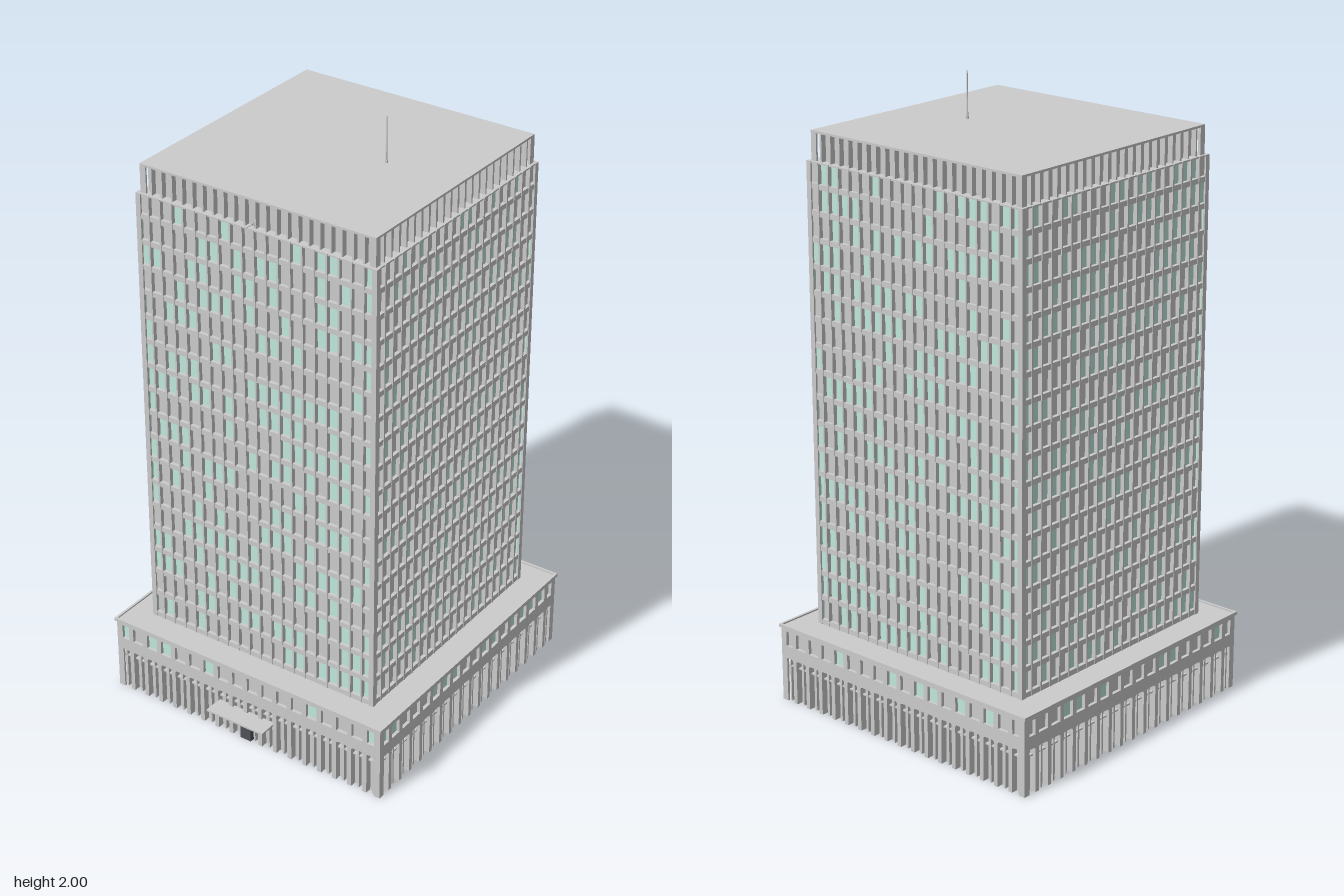
import * as THREE from 'three';
import { mergeGeometries } from 'three/addons/utils/BufferGeometryUtils.js';

const grey = new THREE.MeshStandardMaterial({ color: 0xcccccc, flatShading: true });
const glass = new THREE.MeshStandardMaterial({ color: 0xc0e8dc, side: THREE.DoubleSide });
const dark = new THREE.MeshStandardMaterial({ color: 0x505058 });

let seed = 7;
const random = () => (seed = (seed * 16807) % 2147483647) / 2147483647;

// Box given by its limits on each axis
function box(x0, x1, y0, y1, z0, z1) {
  return new THREE.BoxGeometry(x1 - x0, y1 - y0, z1 - z0)
    .translate((x0 + x1) / 2, (y0 + y1) / 2, (z0 + z1) / 2);
}

// Upright rectangle facing +z
function pane(x, y0, y1, w, z) {
  return new THREE.PlaneGeometry(w, y1 - y0).translate(x, (y0 + y1) / 2, z);
}

function add(parent, name, parts, material) {
  const mesh = new THREE.Mesh(mergeGeometries(parts), material);
  mesh.name = name;
  parent.add(mesh);
}

// One tower face: 20 bays by 18 floors of recessed windows
function towerSide() {
  const side = new THREE.Group();
  side.name = 'towerFacade';
  const half = 0.427, bays = 20, floors = 18, y0 = 0.26, y1 = 1.76;
  const bay = (2 * half - 0.006) / bays, floor = (y1 - y0) / floors;
  const mullions = [], spandrels = [], clear = [], blinds = [];
  for (let i = 0; i <= bays; i++) {
    const x = -half + 0.003 + i * bay;
    mullions.push(box(x - 0.003, x + 0.003, y0, y1, 0.41, 0.427));
  }
  for (let j = 0; j < floors; j++) {
    const y = y0 + j * floor;
    spandrels.push(box(-0.425, 0.425, y, y + 0.017, 0.41, 0.425));
    for (let i = 0; i < bays; i++) {
      const x = -half + 0.003 + (i + 0.5) * bay;
      (random() < 0.48 ? clear : blinds).push(pane(x, y + 0.017, y + floor, bay, 0.413));
    }
  }
  spandrels.push(box(-0.425, 0.425, y1 - 0.005, y1, 0.41, 0.425));
  add(side, 'mullions', mullions, grey);
  add(side, 'spandrels', spandrels, grey);
  add(side, 'clearWindows', clear, glass);
  add(side, 'blindWindows', blinds, grey);
  return side;
}

// Crown screen of upright fins
function crownSide() {
  const fins = [];
  for (let i = 0; i <= 22; i++) {
    const x = -0.413 + i * (0.826 / 22);
    fins.push(box(x - 0.003, x + 0.003, 1.76, 1.848, 0.395, 0.416));
  }
  const side = new THREE.Group();
  side.name = 'crownFacade';
  add(side, 'crownFins', fins, grey);
  return side;
}

// Upper podium wall with holes, over a colonnade of arched bays
function podiumSide() {
  const side = new THREE.Group();
  side.name = 'podiumFacade';
  const bays = 18, bay = 1.02 / bays, half = 0.51;
  const wall = new THREE.Shape();
  wall.moveTo(-half, 0);
  const clear = [], blinds = [], inner = [], frames = [];
  for (let i = 0; i < bays; i++) {
    const x = -half + (i + 0.5) * bay, w = 0.021, r = 0.008;
    // Doorway-like notch with rounded top corners
    wall.lineTo(x - w, 0);
    wall.lineTo(x - w, 0.148 - r);
    wall.quadraticCurveTo(x - w, 0.148, x - w + r, 0.148);
    wall.lineTo(x + w - r, 0.148);
    wall.quadraticCurveTo(x + w, 0.148, x + w, 0.148 - r);
    wall.lineTo(x + w, 0);
    // Upper window opening
    const hole = new THREE.Path();
    hole.moveTo(x - 0.02, 0.19);
    hole.lineTo(x - 0.02, 0.24);
    hole.lineTo(x + 0.02, 0.24);
    hole.lineTo(x + 0.02, 0.19);
    hole.closePath();
    wall.holes.push(hole);
    (random() < 0.35 ? clear : blinds).push(pane(x, 0.19, 0.24, 0.04, 0.499));
    inner.push(pane(x, 0.19, 0.24, 0.04, 0.489));
    // Mullion and transom inside each lower bay
    frames.push(box(x - 0.003, x + 0.003, 0, 0.148, 0.485, 0.502));
    frames.push(box(x - w, x + w, 0.118, 0.123, 0.485, 0.5));
  }
  wall.lineTo(half, 0);
  wall.lineTo(half, 0.25);
  wall.lineTo(-half, 0.25);
  wall.closePath();
  const shell = new THREE.ExtrudeGeometry(wall, { depth: 0.022, bevelEnabled: false, curveSegments: 3 });
  add(side, 'podiumWall', [shell.translate(0, 0, 0.488)], grey);
  add(side, 'clearWindows', clear, glass);
  add(side, 'blindWindows', blinds, grey);
  add(side, 'colonnadeFrames', frames, grey);
  // Lower infill is solid outside and glazed inside
  add(side, 'colonnadeInfill', [pane(0, 0, 0.15, 0.98, 0.488)], grey);
  inner.push(pane(0, 0, 0.15, 0.97, 0.4845));
  add(side, 'innerGlazing', inner, glass);
  return side;
}

export function createModel() {
  const model = new THREE.Group();
  model.name = 'officeTower';
  const building = new THREE.Group();
  building.name = 'building';
  building.position.z = -0.026;
  model.add(building);

  for (let k = 0; k < 4; k++) {
    for (const make of [podiumSide, towerSide, crownSide]) {
      const side = make();
      side.rotation.y = k * Math.PI / 2;
      building.add(side);
    }
  }

  // Podium roof, with a raised lip
  add(building, 'podiumRoof', [box(-0.511, 0.511, 0.248, 0.256, -0.511, 0.511)], grey);
  const lip = [];
  for (let k = 0; k < 4; k++) {
    lip.push(box(-0.515, 0.515, 0.25, 0.261, 0.507, 0.515).rotateY(k * Math.PI / 2));
  }
  add(building, 'podiumParapet', lip, grey);

  // Solid cores and roof
  add(building, 'towerCore', [box(-0.411, 0.411, 0.25, 1.758, -0.411, 0.411)], grey);
  add(building, 'towerTopLedge', [box(-0.425, 0.425, 1.755, 1.76, -0.425, 0.425)], grey);
  add(building, 'crownCore', [box(-0.398, 0.398, 1.758, 1.846, -0.398, 0.398)], grey);
  add(building, 'roofSlab', [box(-0.416, 0.416, 1.845, 1.852, -0.416, 0.416)], grey);

  // Roof mast
  add(building, 'mast', [
    new THREE.CylinderGeometry(0.002, 0.003, 0.15, 8).translate(0.167, 1.925, 0),
    new THREE.CylinderGeometry(0.005, 0.005, 0.01, 8).translate(0.167, 1.856, 0),
  ], grey);

  // Horizontal flagpole with two stays
  const flagpole = [new THREE.CylinderGeometry(0.0015, 0.0015, 0.05, 6)
    .rotateX(Math.PI / 2).translate(0, 1.78, 0.435)];
  for (const s of [-1, 1]) {
    const stay = new THREE.LineCurve3(new THREE.Vector3(s * 0.01, 1.765, 0.412), new THREE.Vector3(0, 1.78, 0.428));
    flagpole.push(new THREE.TubeGeometry(stay, 1, 0.001, 5));
  }
  add(building, 'flagpole', flagpole, grey);

  // Entrance canopy and door
  add(building, 'entranceCanopy', [box(-0.108, 0.108, 0.099, 0.105, 0.5, 0.568)], grey);
  add(building, 'entranceDoor', [box(-0.02, 0.02, 0, 0.06, 0.49, 0.511)], dark);
  return model;
}
